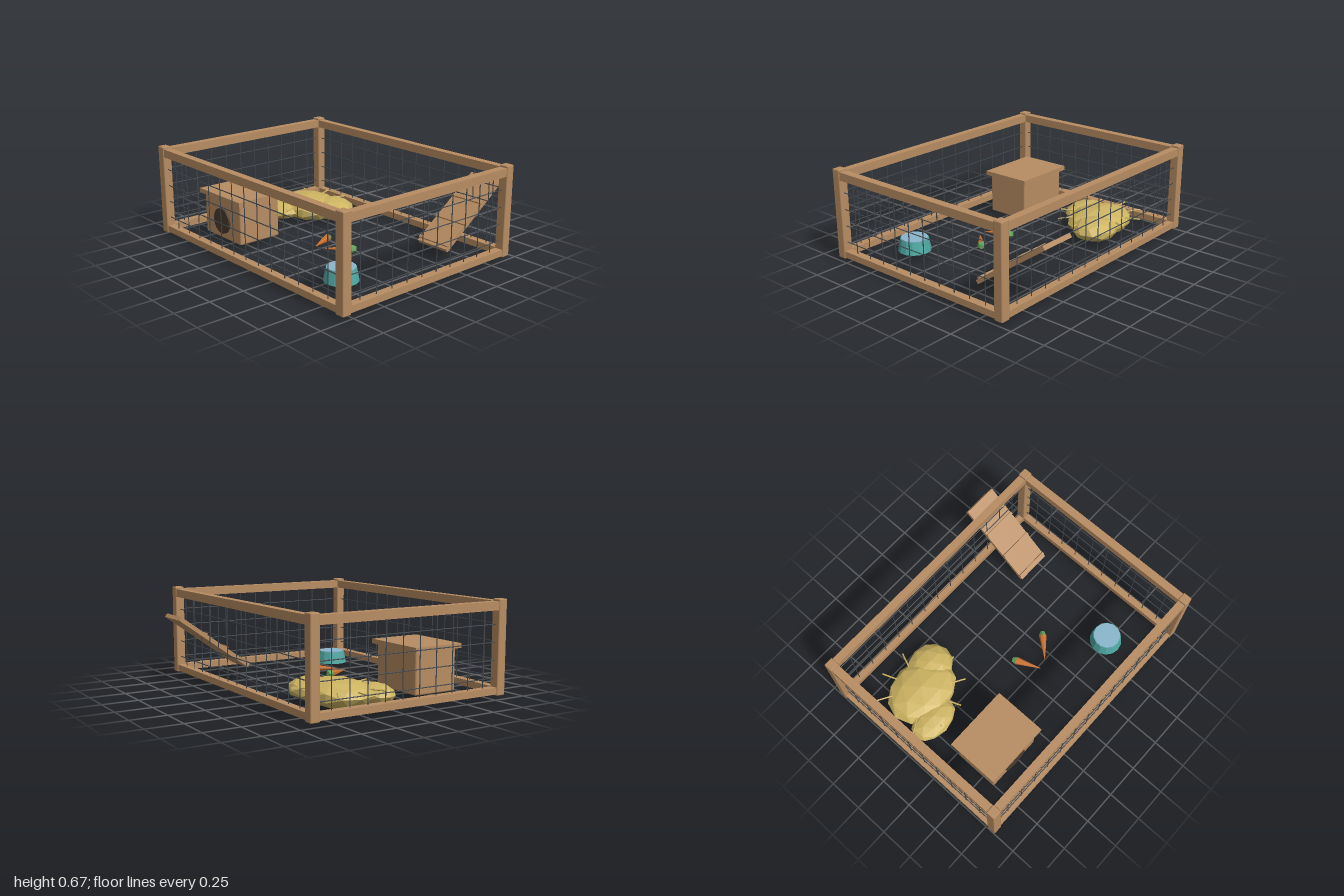
import * as THREE from 'three';
import { RoundedBoxGeometry } from 'three/addons/geometries/RoundedBoxGeometry.js';

const mat = (color, flatShading = false) => new THREE.MeshStandardMaterial({ color, flatShading });
const wood = mat(0xb78c62);
const wire = mat(0x444a50);
const hay = mat(0xcdb462, true);
const dark = mat(0x4a3a2e);
const teal = mat(0x4fa8a3, true);
const water = mat(0x8ab6cc);
const orange = mat(0xc8702f, true);
const green = mat(0x5fa35a, true);

const UP = new THREE.Vector3(0, 1, 0);

function add(parent, name, geometry, material, x = 0, y = 0, z = 0) {
  const mesh = new THREE.Mesh(geometry, material);
  mesh.name = name;
  mesh.position.set(x, y, z);
  parent.add(mesh);
  return mesh;
}

function group(parent, name) {
  const g = new THREE.Group();
  g.name = name;
  parent.add(g);
  return g;
}

const box = (w, h, d) => new THREE.BoxGeometry(w, h, d);

// Round stick between two points
function stick(parent, name, a, b, r0, r1, sides, material) {
  const dir = b.clone().sub(a);
  const mid = a.clone().add(b).multiplyScalar(0.5);
  const m = add(parent, name, new THREE.CylinderGeometry(r1, r0, dir.length(), sides), material, mid.x, mid.y, mid.z);
  m.quaternion.setFromUnitVectors(UP, dir.normalize());
  return m;
}

const V = (x, y, z) => new THREE.Vector3(x, y, z);

// Pen outline, through the post centres
const X = 0.965, ZF = 0.797, ZB = -0.648, ZC = (ZF + ZB) / 2, DEPTH = ZF - ZB;

function buildFrame(root) {
  const frame = group(root, 'frame');
  for (const x of [-X, X])
    for (const z of [ZF, ZB])
      add(frame, 'post', new RoundedBoxGeometry(0.07, 0.645, 0.067, 1, 0.008), wood, x, 0.356, z);
  for (const [y, h] of [[0.634, 0.058], [0.067, 0.046]]) {
    for (const z of [ZF, ZB]) add(frame, 'longRail', box(2 * X, h, 0.055), wood, 0, y, z);
    for (const x of [-X, X]) add(frame, 'sideRail', box(0.058, h, DEPTH), wood, x, y, ZC);
  }
}

function buildWires(root) {
  const mesh = group(root, 'wireMesh');
  const r = 0.0035, y0 = 0.03, y1 = 0.63;
  const panel = (a, b, count) => {
    for (let i = 1; i < count; i++) {
      const p = a.clone().lerp(b, i / count);
      stick(mesh, 'uprightWire', V(p.x, y0, p.z), V(p.x, y1, p.z), r, r, 6, wire);
    }
    for (const y of [0.15, 0.27, 0.39, 0.51])
      stick(mesh, 'crossWire', V(a.x, y, a.z), V(b.x, y, b.z), r, r, 6, wire);
  };
  for (const z of [ZF, ZB]) panel(V(-X, 0, z), V(X, 0, z), 14);
  for (const x of [-X, X]) panel(V(x, 0, ZB), V(x, 0, ZF), 11);
}

function buildHouse(root) {
  const house = group(root, 'house');
  add(house, 'houseBody', new RoundedBoxGeometry(0.43, 0.3, 0.335, 1, 0.012), wood, -0.545, 0.195, 0.437);
  add(house, 'houseRoof', box(0.485, 0.032, 0.385), wood, -0.545, 0.356, 0.437);
  const door = add(house, 'doorway', new THREE.CylinderGeometry(0.093, 0.093, 0.02, 24), dark, -0.545, 0.178, 0.608);
  door.rotation.x = Math.PI / 2;
}

function buildRamp(root) {
  const ramp = group(root, 'ramp');
  ramp.position.set(0.66, 0.299, -0.552);
  ramp.rotation.x = 0.62;
  add(ramp, 'rampBoard', box(0.26, 0.03, 0.662), wood);
  for (const z of [-0.1, 0.1, 0.3])
    add(ramp, 'rampCleat', box(0.26, 0.016, 0.02), wood, 0, 0.02, z);
}

function buildHay(root) {
  const pile = group(root, 'hayPile');
  const lumps = [ // centre, radii
    [-0.6, 0.103, -0.235, 0.275, 0.095, 0.22],
    [-0.425, 0.105, -0.32, 0.175, 0.083, 0.16],
    [-0.7, 0.095, -0.03, 0.185, 0.068, 0.125],
  ];
  for (const [x, y, z, rx, ry, rz] of lumps)
    add(pile, 'hayLump', new THREE.IcosahedronGeometry(1, 1), hay, x, y, z).scale.set(rx, ry, rz);
  // Loose straws radiating from the middle of the pile
  for (let i = 0; i < 10; i++) {
    const a = (i / 10) * Math.PI * 2, c = Math.cos(a), s = Math.sin(a);
    stick(pile, 'straw', V(-0.605 + c * 0.17, 0.14, -0.232 + s * 0.17),
      V(-0.605 + c * 0.335, 0.14, -0.232 + s * 0.305), 0.006, 0.006, 5, hay);
  }
}

function buildBowl(root) {
  const bowl = group(root, 'waterBowl');
  bowl.position.set(0.6, 0, 0.49);
  add(bowl, 'bowlBody', new THREE.CylinderGeometry(0.1, 0.118, 0.09, 14), teal, 0, 0.098, 0);
  add(bowl, 'water', new THREE.CylinderGeometry(0.096, 0.096, 0.012, 14), water, 0, 0.142, 0);
}

function buildCarrot(root, head, tip) {
  const carrot = group(root, 'carrot');
  stick(carrot, 'carrotRoot', head, tip, 0.028, 0.002, 8, orange);
  const back = head.clone().sub(tip).normalize().multiplyScalar(0.03).add(head);
  stick(carrot, 'carrotTop', head, back, 0.029, 0.018, 6, green);
}

export function createModel() {
  const root = new THREE.Group();
  root.name = 'petPen';
  buildFrame(root);
  buildWires(root);
  buildHouse(root);
  buildRamp(root);
  buildHay(root);
  buildBowl(root);
  buildCarrot(root, V(0.027, 0.086, 0.115), V(0.1, 0.086, 0.285));
  buildCarrot(root, V(0.303, 0.086, 0.13), V(0.173, 0.086, 0.263));
  return root;
}
